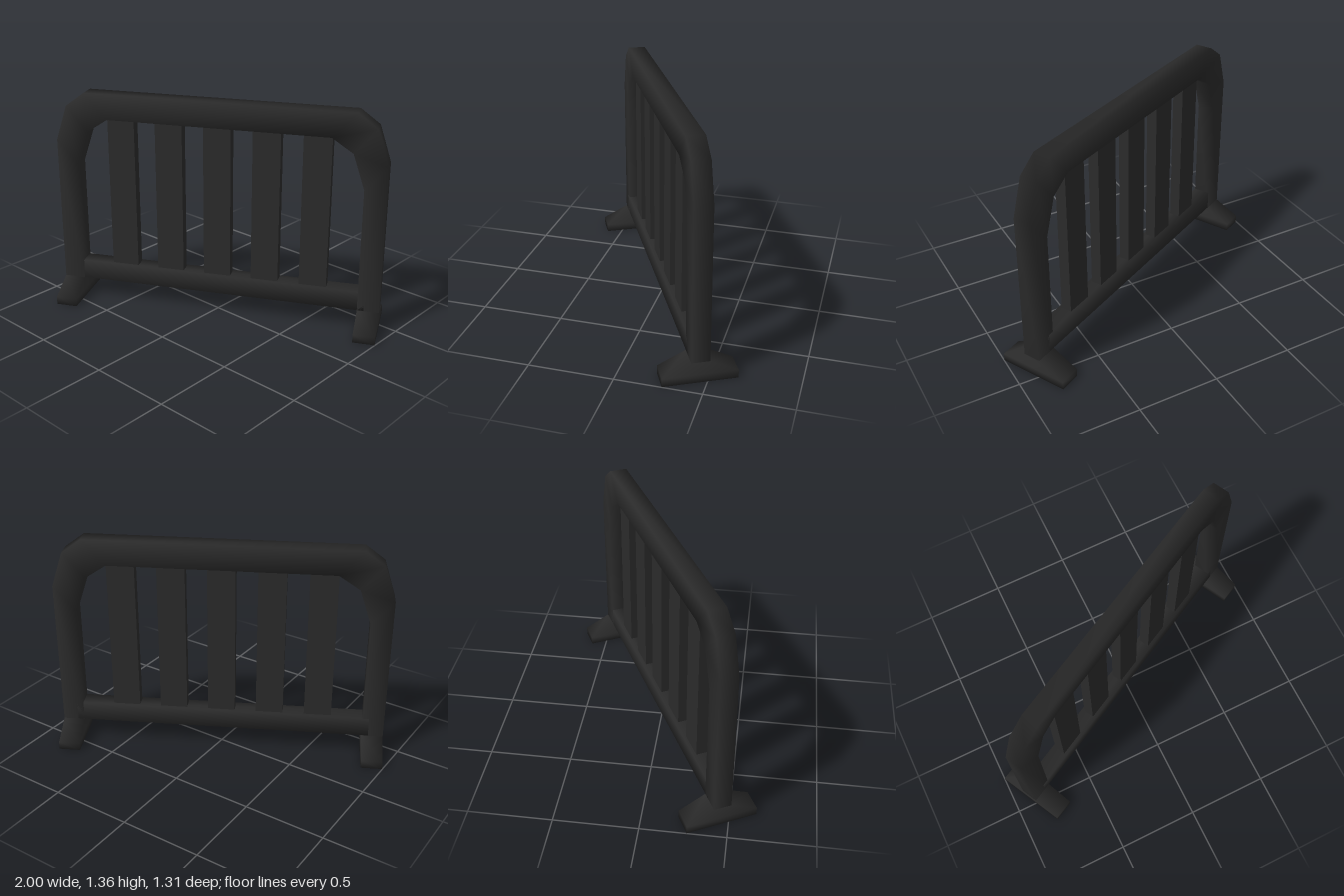
import * as THREE from 'three';

const material = new THREE.MeshStandardMaterial({ color: 0x2b2b2b });

// Skin four-sided sections with smooth shared normals.
// Each section: [outerX, outerY, innerX, innerY, halfDepth]
function loft(name, sections, capStart = false) {
  const positions = [], index = [];
  sections.forEach(([ox, oy, ix, iy, d], i) => {
    positions.push(ox, oy, d, ox, oy, -d, ix, iy, -d, ix, iy, d);
    if (i === 0) return;
    for (let j = 0; j < 4; j++) {
      const a = (i - 1) * 4 + j, b = (i - 1) * 4 + (j + 1) % 4;
      index.push(a, a + 4, b + 4, a, b + 4, b);
    }
  });
  if (capStart) index.push(0, 1, 2, 0, 2, 3);
  const geometry = new THREE.BufferGeometry();
  geometry.setAttribute('position', new THREE.Float32BufferAttribute(positions, 3));
  geometry.setIndex(index);
  geometry.computeVertexNormals();
  const mesh = new THREE.Mesh(geometry, material);
  mesh.name = name;
  return mesh;
}

export function createModel() {
  const barrier = new THREE.Group();
  barrier.name = 'barrier';
  const depth = 0.053;

  // Bent frame: up one post, across the top, down the other
  const half = [
    [-1.012, 0.13, -0.88, 0.13, depth],
    [-1.012, 1.055, -0.88, 0.905, depth],
    [-0.94, 1.275, -0.808, 1.12, depth],
    [-0.822, 1.362, -0.68, 1.205, depth],
  ];
  const mirrored = half.map(([ox, oy, ix, iy, d]) => [-ox, oy, -ix, iy, d]).reverse();
  barrier.add(loft('frame', [...half, ...mirrored]));

  // Lower rail between the posts
  barrier.add(loft('bottomRail', [-0.92, 0.92].map(x => [x, 0.253, x, 0.132, depth])));

  // Flared feet under the posts
  for (const side of [-1, 1]) {
    const a = side * 0.946 - 0.066, b = side * 0.946 + 0.066;
    const profile = [[0, 0.215], [0.05, 0.215], [0.13, depth]];
    barrier.add(loft(side > 0 ? 'leftFoot' : 'rightFoot',
      profile.map(([y, d]) => [a, y, b, y, d]), true));
  }

  // Five flat upright slats
  const slatGeometry = new THREE.BoxGeometry(0.168, 1.03, 0.067);
  for (let i = -2; i <= 2; i++) {
    const slat = new THREE.Mesh(slatGeometry, material);
    slat.name = 'slat';
    slat.position.set(i * 0.3, 0.73, 0);
    barrier.add(slat);
  }

  // The whole barrier stands at an angle
  barrier.rotation.y = THREE.MathUtils.degToRad(27.3);
  const model = new THREE.Group();
  model.name = 'crowdBarrier';
  model.add(barrier);
  return model;
}
